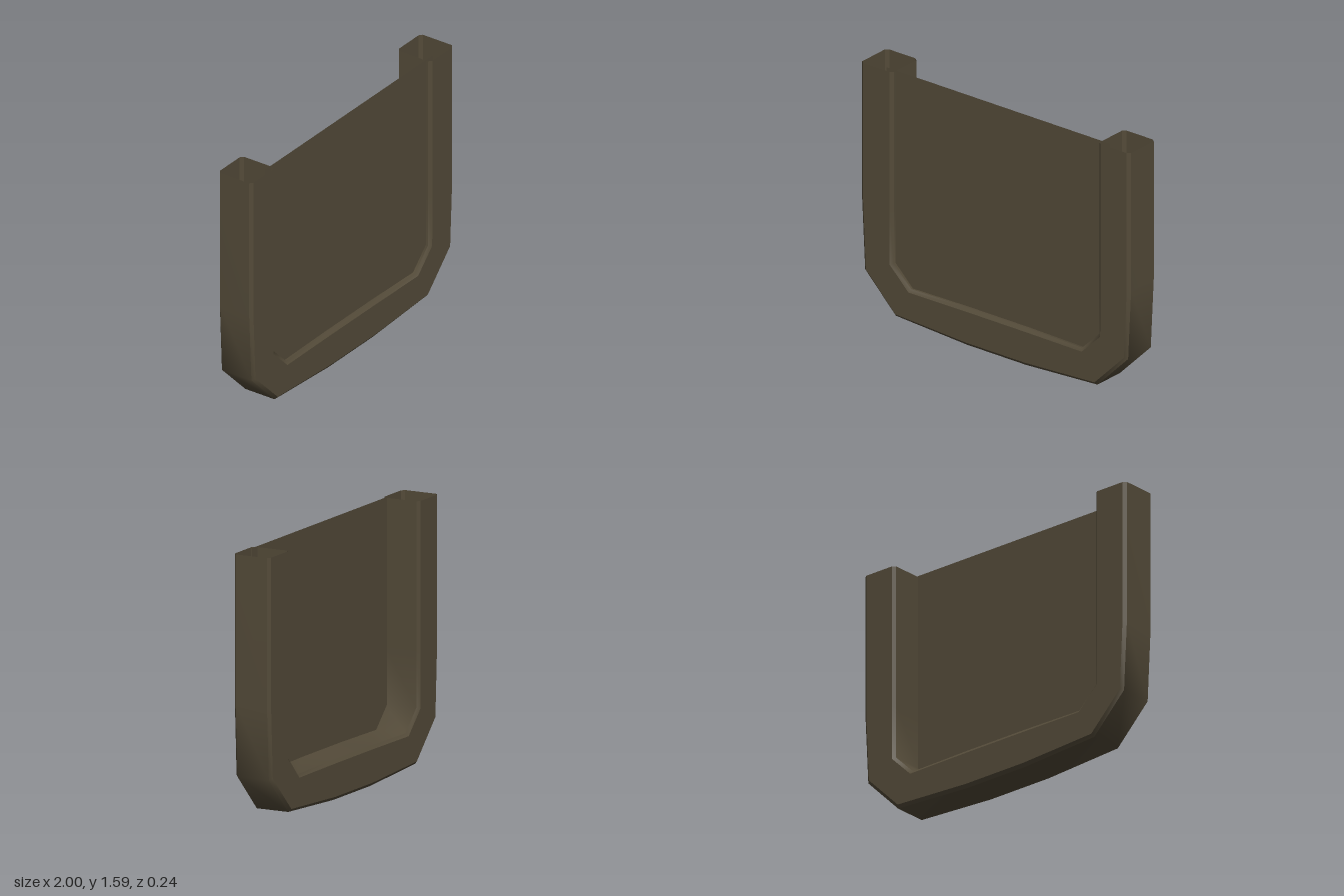
import * as THREE from 'three';

const brown = new THREE.MeshStandardMaterial({ color: 0x544b39, side: THREE.DoubleSide });
brown.name = 'dark olive brown';

// Right half of the frame from the post top down: [outerX, outerY, innerX, innerY]
const half = [
  [1, 1.58, 0.765, 1.58],
  [1, 0.7, 0.765, 0.7],
  [0.978, 0.26, 0.765, 0.36],
  [0.75, 0.03, 0.635, 0.232],
  [0.22, 0, 0.22, 0.238],
];
const stations = [...half, ...half.map(([a, b, c, d]) => [-a, b, -c, d]).reverse()];

// Chamfered cross-section: [fraction from outer to inner edge, z]
const profile = [
  [0, -0.104], [0, 0.104], [0.085, 0.12], [0.915, 0.12],
  [1, 0.104], [1, -0.104], [0.915, -0.12], [0.085, -0.12],
];

// One lengthwise face of the tube, smooth along its length, sharp at its sides
function strip(p, q) {
  const position = [], index = [];
  stations.forEach(([ox, oy, ix, iy], i) => {
    for (const [t, z] of [p, q]) {
      position.push(ox + (ix - ox) * t, oy + (iy - oy) * t, z);
    }
    if (i < stations.length - 1) {
      const a = i * 2;
      index.push(a, a + 1, a + 2, a + 1, a + 3, a + 2);
    }
  });
  const geometry = new THREE.BufferGeometry();
  geometry.setAttribute('position', new THREE.Float32BufferAttribute(position, 3));
  geometry.setIndex(index);
  geometry.computeVertexNormals();
  return geometry;
}

export function createModel() {
  const model = new THREE.Group();
  model.name = 'framedPanel';

  // Hollow U-shaped frame, open at the post tops
  const frame = new THREE.Group();
  frame.name = 'frame';
  profile.forEach((p, k) => {
    const face = new THREE.Mesh(strip(p, profile[(k + 1) % profile.length]), brown);
    face.name = 'frameFace' + (k + 1);
    frame.add(face);
  });
  model.add(frame);

  // Thin panel near the front, its edges tucked inside the frame
  const outline = [
    [0.83, 1.586], [-0.83, 1.586], [-0.83, 0.33],
    [-0.67, 0.17], [0.67, 0.17], [0.83, 0.33],
  ].map(([x, y]) => new THREE.Vector2(x, y));
  const panel = new THREE.Mesh(new THREE.ShapeGeometry(new THREE.Shape(outline)), brown);
  panel.name = 'panel';
  panel.position.z = 0.09;
  model.add(panel);

  return model;
}
